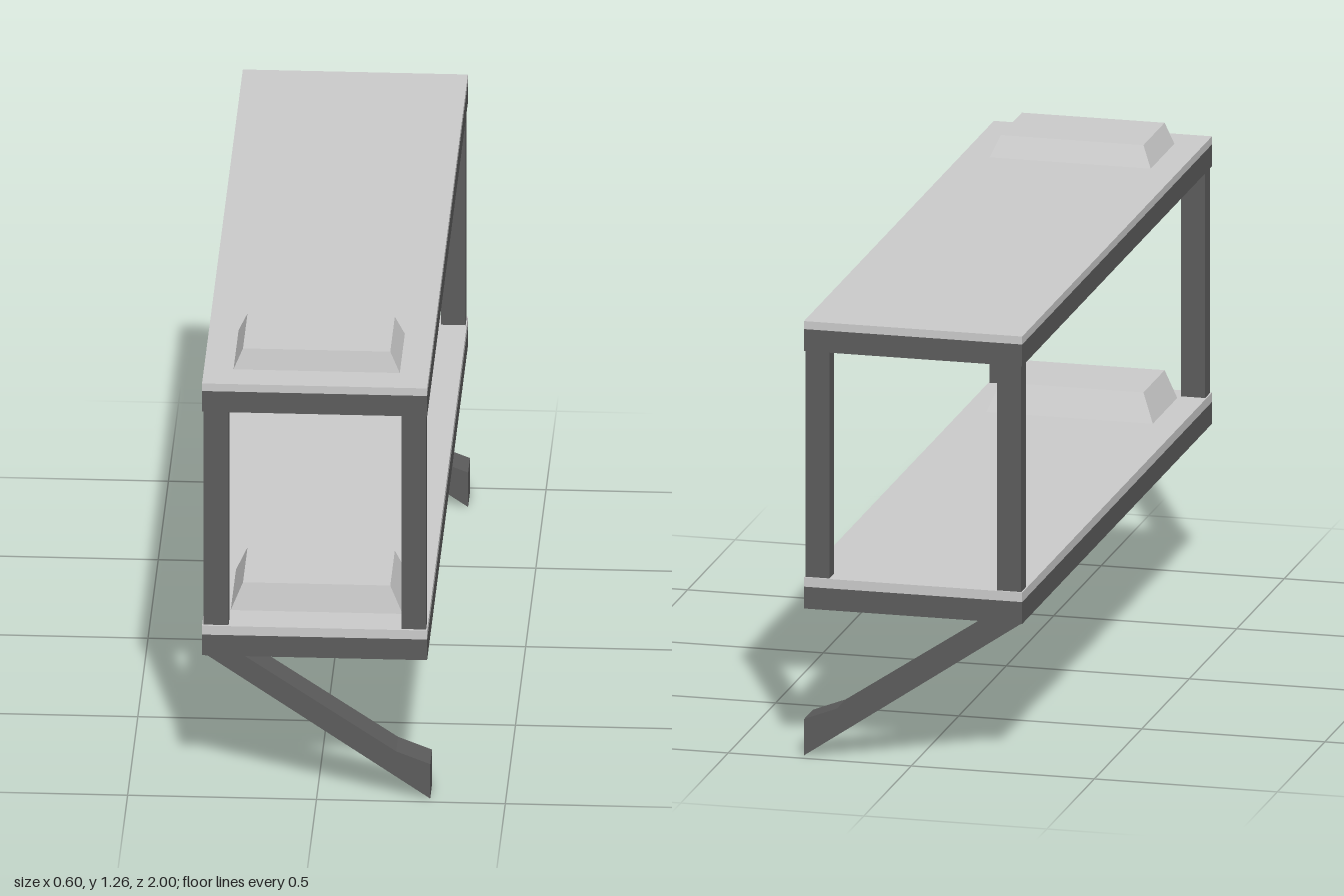
import * as THREE from 'three';

const light = new THREE.MeshStandardMaterial({ color: 0xcccccc, flatShading: true });
const dark = new THREE.MeshStandardMaterial({ color: 0x5c5c5c, flatShading: true });

// Box given by its two opposite corners
function box(name, material, [x0, y0, z0], [x1, y1, z1]) {
  const mesh = new THREE.Mesh(new THREE.BoxGeometry(x1 - x0, y1 - y0, z1 - z0), material);
  mesh.position.set((x0 + x1) / 2, (y0 + y1) / 2, (z0 + z1) / 2);
  mesh.name = name;
  return mesh;
}

// Box whose top corners are drawn in to a smaller rectangle
function pillow(name, y0, y1, base, top) {
  const geometry = new THREE.BoxGeometry(1, 1, 1);
  const p = geometry.attributes.position;
  for (let i = 0; i < p.count; i++) {
    const r = p.getY(i) > 0 ? top : base;
    p.setXYZ(i, p.getX(i) < 0 ? r.x0 : r.x1, p.getY(i) > 0 ? y1 : y0, p.getZ(i) < 0 ? r.z0 : r.z1);
  }
  geometry.computeVertexNormals();
  const mesh = new THREE.Mesh(geometry, light);
  mesh.name = name;
  return mesh;
}

export function createModel() {
  const group = new THREE.Group();
  group.name = 'bunkBed';
  const left = 0.293, right = -0.303;

  // Two bunks: bed base, mattress and pillow
  const bunks = [
    { name: 'lower', y: [0.412, 0.472, 0.498], pillow: [0.503, 0.58] },
    { name: 'upper', y: [1.12, 1.18, 1.202], pillow: [1.185, 1.26] },
  ];
  for (const { name, y, pillow: py } of bunks) {
    group.add(
      box(name + 'Base', dark, [right, y[0], -1], [left, y[1], 1]),
      box(name + 'Mattress', light, [right, y[1], -1], [left, y[2], 1]),
      pillow(name + 'Pillow', py[0], py[1],
        { x0: -0.232, x1: 0.223, z0: 0.65, z1: 0.908 },
        { x0: -0.2, x1: 0.19, z0: 0.675, z1: 0.898 }),
    );
  }

  // Corner posts
  for (const [x0, x1] of [[-0.299, -0.233], [0.225, 0.29]]) {
    for (const [z0, z1] of [[-0.995, -0.945], [0.943, 0.993]]) {
      group.add(box('post', dark, [x0, 0.47, z0], [x1, 1.125, z1]));
    }
  }

  // Slanted legs with an upturned foot, running from the right edge to the left
  const profile = new THREE.Shape([
    [-0.295, 0.412], [-0.29, 0.402], [0.3, 0], [0.3, 0.1], [0.21, 0.135], [-0.19, 0.402], [-0.19, 0.412],
  ].map(([x, y]) => new THREE.Vector2(x, y)));
  for (const z of [-0.972, 0.885]) {
    const leg = new THREE.Mesh(new THREE.ExtrudeGeometry(profile, { depth: 0.093, bevelEnabled: false }), dark);
    leg.position.z = z;
    leg.name = 'leg';
    group.add(leg);
  }
  return group;
}
